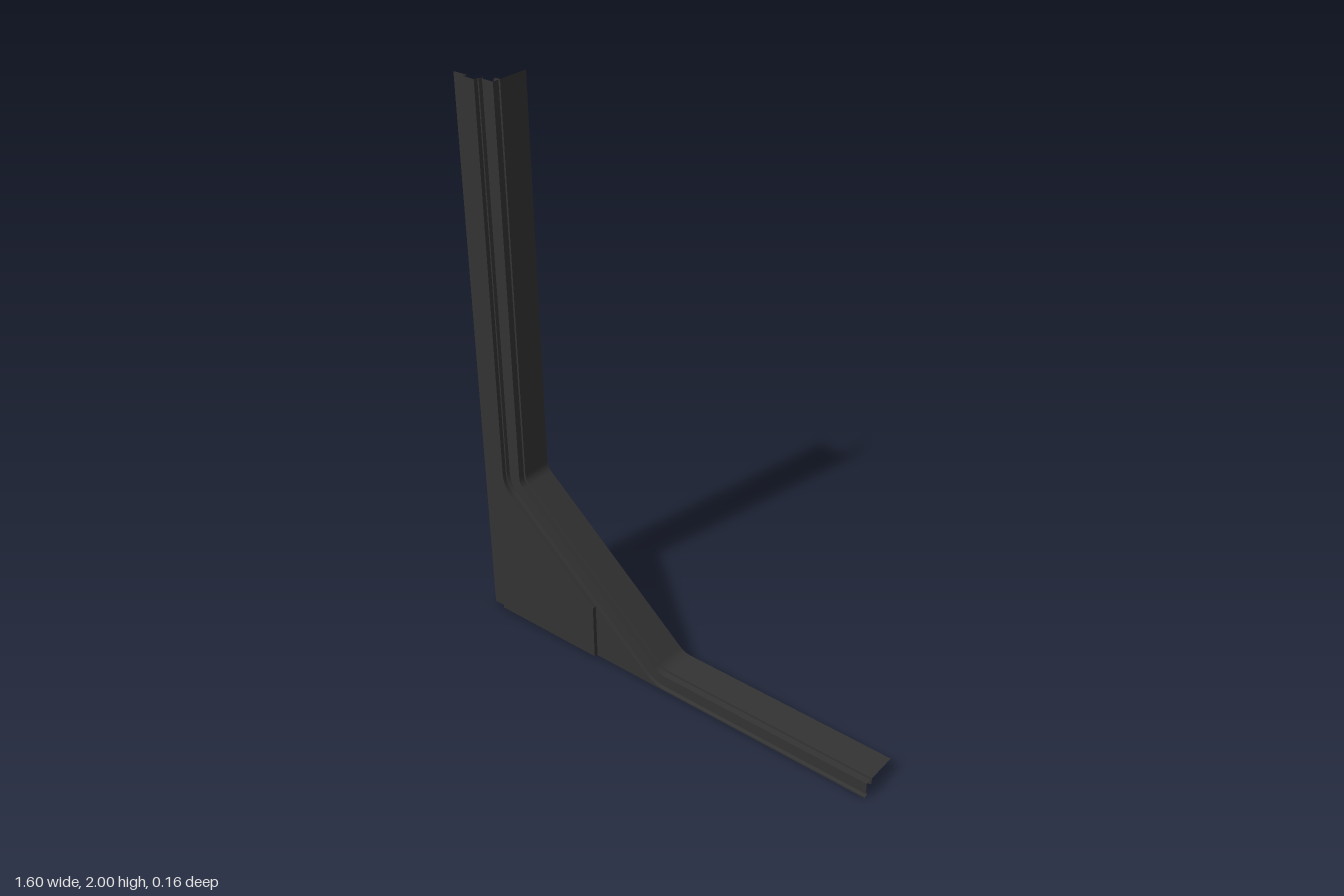
import * as THREE from 'three';

const material = new THREE.MeshStandardMaterial({ color: 0x333333, side: THREE.DoubleSide });
const FRONT = 0.08, BASE = 0.065, RIM = 0.06; // panel plane, sheet plane, rim width
const PANEL_LEFT = -0.745, PANEL_RIGHT = -0.305;

// Rim centre line: straight down, diagonal, straight to +x, with rounded bends.
const P1 = new THREE.Vector2(-0.64, 0.583), P2 = new THREE.Vector2(-0.03, 0.06);
const slope = Math.atan2(P2.y - P1.y, P2.x - P1.x);
const outward = (a) => new THREE.Vector2(Math.sin(a), -Math.cos(a));

function bend(corner, a0, a1, radius, steps = 8) {
  const n0 = outward(a0), n1 = outward(a1);
  const centre = corner.clone().addScaledVector(n0.clone().add(n1), -radius / (1 + n0.dot(n1)));
  return Array.from({ length: steps + 1 }, (_, i) => {
    const n = outward(a0 + (a1 - a0) * i / steps);
    return { p: centre.clone().addScaledVector(n, radius), n };
  });
}
const bend1 = bend(P1, -Math.PI / 2, slope, 0.05);
const bend2 = bend(P2, slope, 0, 0.07);
const path = [
  { p: new THREE.Vector2(-0.64, 2), n: outward(-Math.PI / 2) },
  ...bend1, ...bend2,
  { p: new THREE.Vector2(0.8, 0.06), n: outward(0) },
];
const offset = (rows, d) => rows.map(({ p, n }) => p.clone().addScaledVector(n, d));

// Surface between two equally long rows of 3D points.
function strip(a, b) {
  const positions = [], index = [];
  a.forEach((p, i) => {
    positions.push(...p.toArray(), ...b[i].toArray());
    if (i) index.push(2 * i - 2, 2 * i - 1, 2 * i, 2 * i, 2 * i - 1, 2 * i + 1);
  });
  const g = new THREE.BufferGeometry();
  g.setAttribute('position', new THREE.Float32BufferAttribute(positions, 3));
  g.setIndex(index);
  g.computeVertexNormals();
  return g;
}
const atZ = (points, z) => points.map((p) => new THREE.Vector3(p.x, p.y, z));

export function createModel() {
  const model = new THREE.Group();
  const add = (name, geometry, parent = model) => {
    const mesh = new THREE.Mesh(geometry, material);
    mesh.name = name;
    parent.add(mesh);
  };
  const sheet = (name, points, z, parent) =>
    add(name, new THREE.ShapeGeometry(new THREE.Shape(points)).translate(0, 0, z), parent);
  const v = (x, y) => new THREE.Vector2(x, y);

  // Bent rim: deep return flange with a narrow groove, then the stepped front lip.
  const rim = new THREE.Group();
  rim.name = 'bentRim';
  model.add(rim);
  const profile = [ // [distance outward, z]
    [0, -0.08], [0, 0.031], [0.02, 0.031], [0.02, 0.038], [0, 0.038], [0, 0.061],
    [0.044, 0.061], [0.047, 0.054], [0.052, 0.054], [0.055, BASE], [RIM, BASE],
  ];
  for (let i = 1; i < profile.length; i++) {
    const [a, b] = [profile[i - 1], profile[i]].map(([d, z]) => atZ(offset(path, d), z));
    add('rimFace', strip(a, b), rim);
  }

  // Raised corner panel with side walls, open at the top end.
  const panel = new THREE.Group();
  panel.name = 'raisedPanel';
  model.add(panel);
  const edge1 = offset(bend1, RIM), edge2 = offset(bend2, RIM);
  const t = (PANEL_RIGHT - edge1.at(-1).x) / (edge2[0].x - edge1.at(-1).x);
  const meet = edge1.at(-1).clone().lerp(edge2[0], t);
  const inner = [v(-0.64 - RIM, 2), ...edge1, meet];
  const outline = [...inner, v(PANEL_RIGHT, 0.005), v(PANEL_LEFT, 0.005), v(PANEL_LEFT, 2)];
  sheet('panelFace', outline, FRONT, panel);
  const wall = (points) => add('panelWall', strip(atZ(points, BASE), atZ(points, FRONT)), panel);
  wall(inner);
  const corners = outline.slice(inner.length - 1);
  for (let i = 1; i < corners.length; i++) wall([corners[i - 1], corners[i]]);

  // Flat sheets beside and below the panel.
  sheet('outerEdgeStrip', [v(-0.8, 0), v(PANEL_LEFT, 0), v(PANEL_LEFT, 2), v(-0.8, 2)], BASE);
  sheet('bottomEdgeStrip', [v(PANEL_LEFT, 0), v(PANEL_RIGHT, 0), v(PANEL_RIGHT, 0.005), v(PANEL_LEFT, 0.005)], BASE);
  sheet('cornerGusset', [v(PANEL_RIGHT, 0), meet, ...edge2], BASE);

  return model;
}
